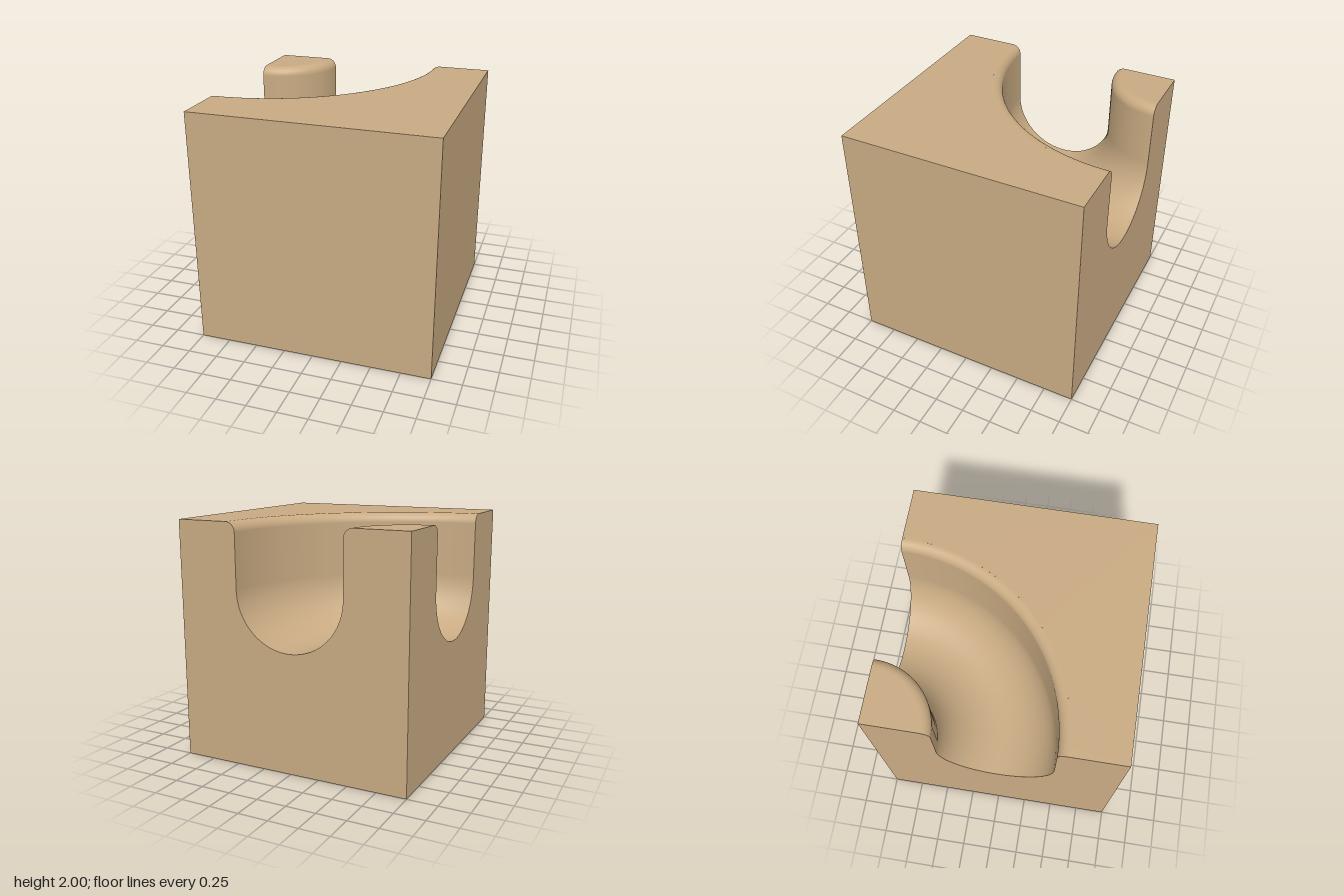
import * as THREE from 'three';

const SIZE = 2;      // cube side
const MID = 1;       // groove centre radius, measured from the back corner
const HALF = 0.47;   // groove half width and bottom radius
const LIP = 0.08;    // rounded rim
const FLOOR = 1.47;  // height of the groove's rounding centre

// Groove cross-section (radius, height), from the outer rim down and up onto the post
function grooveProfile() {
  const pts = [];
  const arc = (cx, cy, r, from, to, n) => {
    for (let i = 0; i <= n; i++) {
      const a = from + (to - from) * i / n;
      pts.push(new THREE.Vector2(cx + r * Math.cos(a), cy + r * Math.sin(a)));
    }
  };
  arc(MID + HALF + LIP, SIZE - LIP, LIP, Math.PI / 2, Math.PI, 10);
  arc(MID, FLOOR, HALF, 0, -Math.PI, 40);
  arc(MID - HALF - LIP, SIZE - LIP, LIP, 0, Math.PI / 2, 10);
  return pts;
}

export function createModel() {
  const model = new THREE.Group();
  model.name = 'groovedCornerBlock';
  const tan = new THREE.MeshStandardMaterial({ color: 0xc8aa82 });
  tan.name = 'tan';

  // Everything is laid out from the back corner where the post stands
  const block = new THREE.Group();
  block.name = 'block';
  block.position.set(-1, 0, -1);
  model.add(block);
  const add = (name, geometry) => {
    const mesh = new THREE.Mesh(geometry, tan);
    mesh.name = name;
    block.add(mesh);
  };

  const profile = grooveProfile();
  const rimOuter = profile[0].x;
  const rimInner = profile[profile.length - 1].x;

  // Quarter-turn groove with rounded rims
  add('groove', new THREE.LatheGeometry(profile, 64, 0, Math.PI / 2));

  // Flat top of the post
  const postTop = new THREE.CircleGeometry(rimInner, 64, -Math.PI / 2, Math.PI / 2);
  add('postTop', postTop.rotateX(-Math.PI / 2).translate(0, SIZE, 0));

  // Flat top outside the groove
  const top = new THREE.Shape();
  top.moveTo(rimOuter, 0);
  top.lineTo(SIZE, 0);
  top.lineTo(SIZE, -SIZE);
  top.lineTo(0, -SIZE);
  top.lineTo(0, -rimOuter);
  top.absarc(0, 0, rimOuter, -Math.PI / 2, 0, false);
  add('topFace', new THREE.ShapeGeometry(top, 64).rotateX(-Math.PI / 2).translate(0, SIZE, 0));

  // The two sides cut open by the groove
  const cutFace = (sign) => new THREE.ShapeGeometry(new THREE.Shape([
    [0, 0], [SIZE, 0], [SIZE, SIZE],
    ...profile.map((p) => [p.x, p.y]),
    [0, SIZE],
  ].map(([r, y]) => new THREE.Vector2(sign * r, y))));
  add('backFace', cutFace(-1).rotateY(Math.PI));
  add('leftCutFace', cutFace(1).rotateY(-Math.PI / 2));

  // Plain faces
  const plane = () => new THREE.PlaneGeometry(SIZE, SIZE);
  add('frontFace', plane().translate(1, 1, SIZE));
  add('sideFace', plane().rotateY(Math.PI / 2).translate(SIZE, 1, 1));
  add('bottomFace', plane().rotateX(Math.PI / 2).translate(1, 0, 1));

  return model;
}
